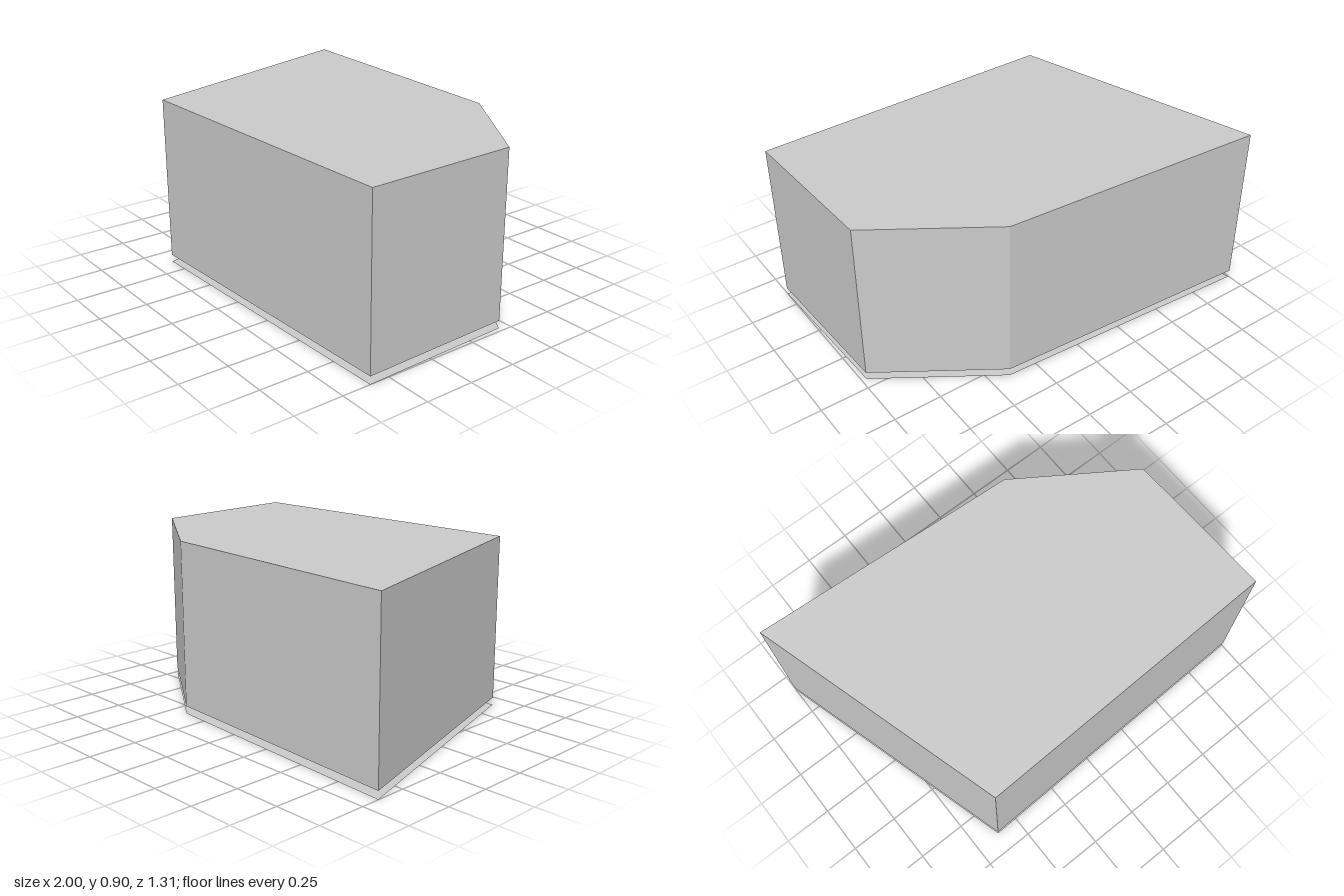
import * as THREE from 'three';

export function createModel() {
  const group = new THREE.Group();
  const material = new THREE.MeshStandardMaterial({
    color: 0xcccccc, side: THREE.DoubleSide, flatShading: true,
  });

  // Footprint corners (x, z), counter-clockwise seen from above
  const corners = [
    [-0.62, 0.65], [1, 0.603], [0.976, -0.193], [0.4, -0.575], [-1, -0.655],
  ];
  const wallBottom = 0.04, wallTop = 0.896;
  const height = wallTop - wallBottom;

  // Flat sheet with the footprint outline, lying level at height y
  const outline = new THREE.Shape(corners.map(([x, z]) => new THREE.Vector2(x, -z)));
  const sheet = (name, y) => {
    const mesh = new THREE.Mesh(new THREE.ShapeGeometry(outline).rotateX(-Math.PI / 2), material);
    mesh.name = name;
    mesh.position.y = y;
    group.add(mesh);
  };
  sheet('floor', 0);
  sheet('roof', wallTop);

  // One upright panel per edge; the shell stays open underneath
  const walls = new THREE.Group();
  walls.name = 'walls';
  corners.forEach(([x0, z0], i) => {
    const [x1, z1] = corners[(i + 1) % corners.length];
    const wall = new THREE.Mesh(
      new THREE.PlaneGeometry(Math.hypot(x1 - x0, z1 - z0), height), material);
    wall.name = `wall${i + 1}`;
    wall.position.set((x0 + x1) / 2, wallBottom + height / 2, (z0 + z1) / 2);
    wall.rotation.y = Math.atan2(z0 - z1, x1 - x0);
    walls.add(wall);
  });
  group.add(walls);

  return group;
}
